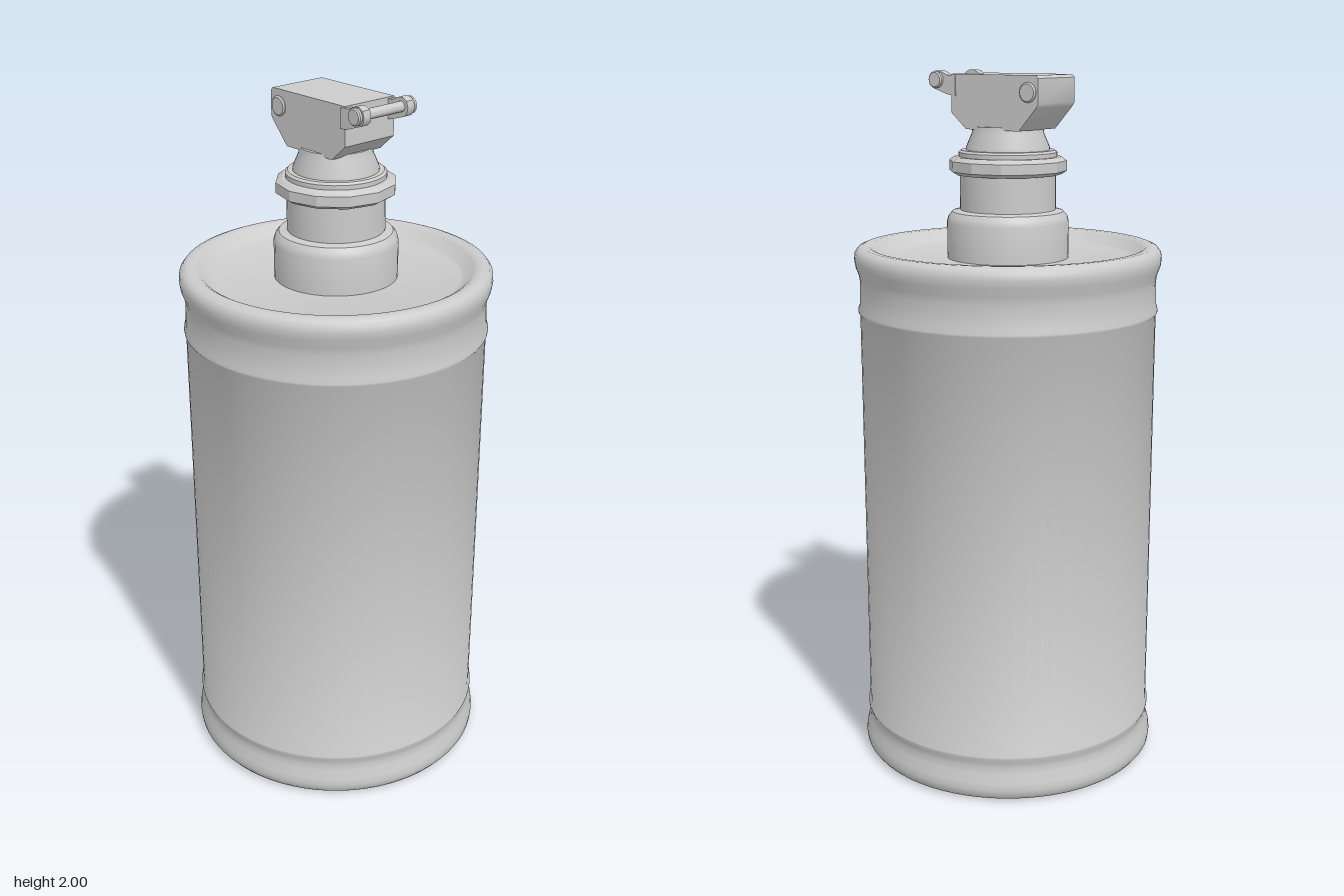
import * as THREE from 'three';
import { toCreasedNormals } from 'three/addons/utils/BufferGeometryUtils.js';

const material = new THREE.MeshStandardMaterial({ color: 0xcccccc });

function addMesh(parent, name, geometry, crease = 0.6) {
  const mesh = new THREE.Mesh(toCreasedNormals(geometry, crease), material);
  mesh.name = name;
  parent.add(mesh);
  return mesh;
}

// Revolve a [radius, height] profile listed from the bottom centre to the top centre
function lathe(profile, segments) {
  return new THREE.LatheGeometry(profile.map(([r, y]) => new THREE.Vector2(r, y)), segments);
}

// Extrude a [z, y] side outline across x, centred on x
function sideExtrude(outline, x, width) {
  const shape = new THREE.Shape(outline.map(([z, y]) => new THREE.Vector2(-z, y)));
  const geometry = new THREE.ExtrudeGeometry(shape, { depth: width, bevelEnabled: false });
  return geometry.translate(0, 0, -width / 2).rotateY(Math.PI / 2).translate(x, 0, 0);
}

// Cylinder lying along x, with softly chamfered ends
function crossPin(radius, length, x, y, z) {
  const h = length / 2, c = Math.min(0.006, h / 2);
  const geometry = lathe([[0, -h], [radius - c, -h], [radius, -h + c], [radius, h - c], [radius - c, h], [0, h]], 20);
  return geometry.rotateZ(-Math.PI / 2).translate(x, y, z);
}

export function createModel() {
  const model = new THREE.Group();
  model.name = 'canister';

  // Can: recessed base, rolled rims, shallow beads and recessed lid
  addMesh(model, 'body', lathe([
    [0, 0.035], [0.343, 0.035], [0.352, 0.03], [0.375, 0.008], [0.39, 0.001],
    [0.41, 0.0], [0.425, 0.006], [0.434, 0.018], [0.436, 0.035], [0.433, 0.055],
    [0.424, 0.08], [0.421, 0.1], [0.423, 0.115], [0.428, 0.128], [0.428, 0.134], [0.423, 0.142],
    [0.423, 1.328], [0.428, 1.336], [0.428, 1.342], [0.423, 1.355], [0.421, 1.42],
    [0.424, 1.44], [0.433, 1.465], [0.436, 1.485], [0.434, 1.502], [0.425, 1.514],
    [0.41, 1.52], [0.392, 1.519], [0.38, 1.512], [0.356, 1.489], [0.345, 1.485], [0, 1.485],
  ], 72));

  // Stepped neck
  addMesh(model, 'neck', lathe([
    [0, 1.48], [0.172, 1.48], [0.172, 1.587], [0.168, 1.602], [0.157, 1.615],
    [0.135, 1.62], [0.135, 1.73], [0, 1.73],
  ], 40));

  // Faceted collar nut
  addMesh(model, 'collarNut', lathe([
    [0, 1.718], [0.15, 1.718], [0.166, 1.728], [0.166, 1.756], [0.15, 1.767], [0, 1.767],
  ], 12), 0.4);

  // Washer and tapered fuse seat
  addMesh(model, 'washer', lathe([
    [0, 1.76], [0.138, 1.76], [0.138, 1.779], [0.131, 1.785], [0, 1.785],
  ], 40));
  addMesh(model, 'fuseSeat', lathe([
    [0, 1.78], [0.118, 1.78], [0.117, 1.793], [0.101, 1.83], [0.098, 1.85], [0, 1.85],
  ], 40));

  // Head block with sloping underside
  const head = new THREE.Group();
  head.name = 'head';
  model.add(head);
  addMesh(head, 'headBlock', sideExtrude([
    [0.13, 1.885], [0.08, 1.842], [-0.1, 1.842], [-0.157, 1.905],
    [-0.163, 1.915], [-0.163, 1.982], [-0.155, 1.99], [0.13, 1.99],
  ], 0, 0.174));

  // Mirrored lugs, pin knobs and rear pivots
  for (const [side, s] of [['left', 1], ['right', -1]]) {
    addMesh(head, side + 'Lug', sideExtrude([
      [0.115, 1.93], [0.145, 1.935], [0.19, 1.95], [0.2, 1.96], [0.203, 1.975],
      [0.198, 1.991], [0.185, 1.998], [0.17, 1.998], [0.145, 1.987], [0.115, 1.985],
    ], s * 0.077, 0.025));
    addMesh(head, side + 'PinKnob', crossPin(0.023, 0.014, s * 0.096, 1.974, 0.178));
    addMesh(head, side + 'Pivot', crossPin(0.027, 0.016, s * 0.085, 1.945, -0.13));
  }
  addMesh(head, 'crossPin', crossPin(0.014, 0.19, 0, 1.974, 0.178));

  return model;
}
